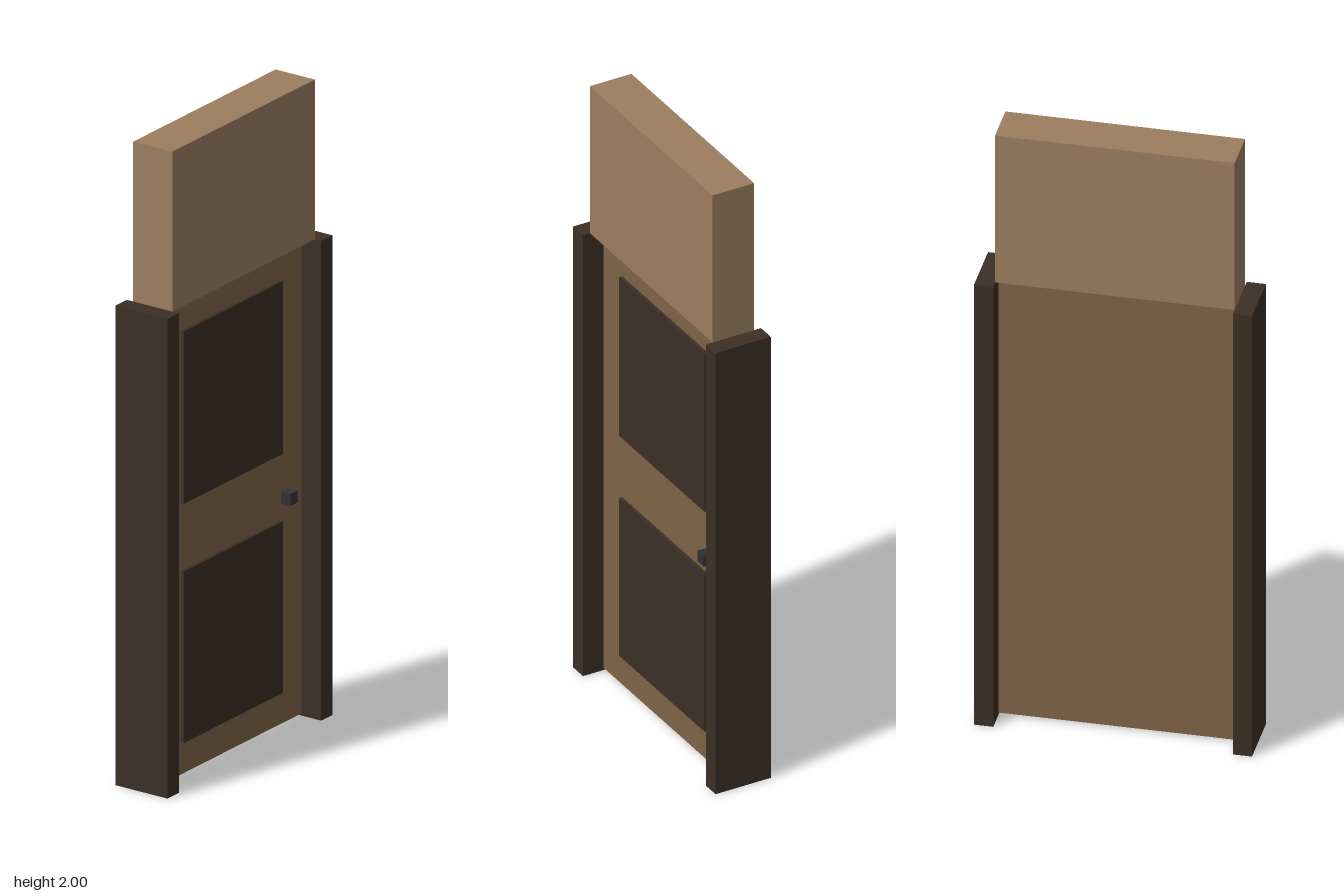
import * as THREE from 'three';

const material = (color) => new THREE.MeshStandardMaterial({ color, flatShading: true });

export function createModel() {
  const group = new THREE.Group();
  const wallTan = material(0x9d7e60);
  const doorBrown = material(0x7f6447);
  const darkWood = material(0x3c2f25);
  const iron = material(0x2f3236);

  // Adds a box spanning the given [min, max] ranges
  const addBox = (name, mat, [x0, x1], [y0, y1], [z0, z1]) => {
    const mesh = new THREE.Mesh(new THREE.BoxGeometry(x1 - x0, y1 - y0, z1 - z0), mat);
    mesh.position.set((x0 + x1) / 2, (y0 + y1) / 2, (z0 + z1) / 2);
    mesh.name = name;
    group.add(mesh);
  };

  const opening = 0.358;
  const doorFront = 0.024;

  // Wall block above the doorway
  addBox('upperWall', wallTan, [-opening, opening], [1.5, 2], [-0.07, 0.07]);

  // Door posts on both sides
  addBox('leftPost', darkWood, [opening, 0.415], [0, 1.5], [-0.093, 0.093]);
  addBox('rightPost', darkWood, [-0.415, -opening], [0, 1.5], [-0.093, 0.093]);

  // Thin door leaf with a small gap above and below
  addBox('doorLeaf', doorBrown, [-opening + 0.001, opening - 0.001], [0.008, 1.492], [-doorFront, doorFront]);

  // Raised panels, front only
  addBox('upperPanel', darkWood, [-0.249, 0.249], [0.856, 1.396], [0, doorFront + 0.01]);
  addBox('lowerPanel', darkWood, [-0.249, 0.249], [0.108, 0.645], [0, doorFront + 0.01]);

  // Square knob
  addBox('knob', iron, [0.252, 0.287], [0.697, 0.734], [0.015, doorFront + 0.035]);

  return group;
}
